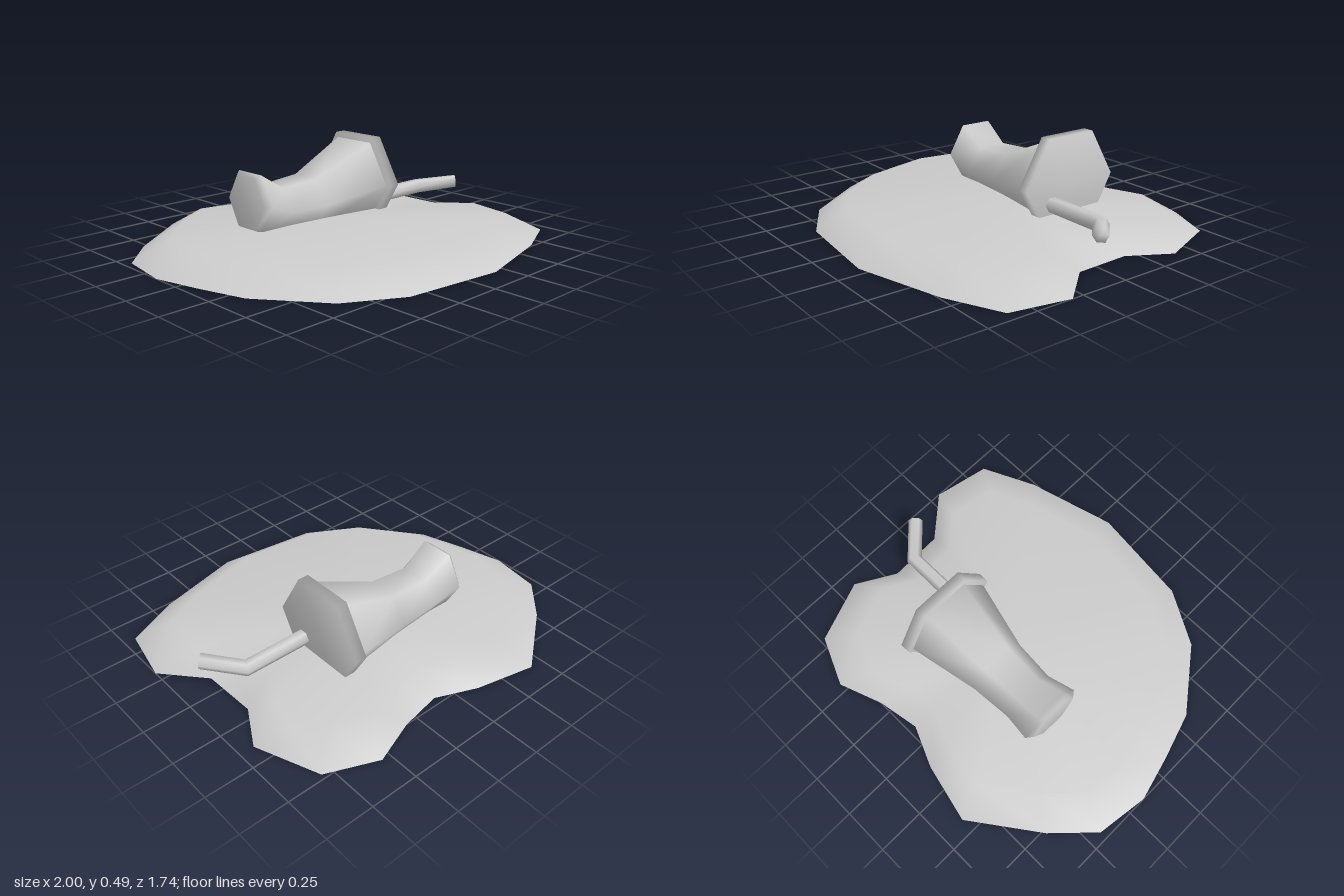
import * as THREE from 'three';

// Skin a list of rings (arrays of Vector3), with optional fan caps at each end.
function loft(rings, capStart, capEnd) {
  const n = rings[0].length;
  const points = rings.flat();
  const index = [];
  for (let i = 0; i < rings.length - 1; i++) {
    for (let j = 0; j < n; j++) {
      const a = i * n + j, b = i * n + (j + 1) % n;
      index.push(a, a + n, b + n, a, b + n, b);
    }
  }
  const cap = (start, flip, ring) => {
    const c = points.length;
    points.push(ring.reduce((s, p) => s.add(p), new THREE.Vector3()).divideScalar(n));
    for (let j = 0; j < n; j++) {
      const a = start + j, b = start + (j + 1) % n;
      index.push(c, flip ? b : a, flip ? a : b);
    }
  };
  if (capStart) cap(0, false, rings[0]);
  if (capEnd) cap((rings.length - 1) * n, true, rings[rings.length - 1]);
  const g = new THREE.BufferGeometry().setFromPoints(points);
  g.setIndex(index);
  g.computeVertexNormals();
  return g;
}

// Six-sided ring around the x axis, turned by yaw about y and shifted by lean in x.
function hexRing(x, y, z, halfHeight, halfWidth, yaw = 0, lean = 0) {
  return Array.from({ length: 6 }, (_, k) => {
    const a = k * Math.PI / 3;
    const h = Math.sin(a) / Math.sin(Math.PI / 3) * halfHeight;
    const w = Math.cos(a) * halfWidth;
    return new THREE.Vector3(x + Math.sin(yaw) * w - h * lean, y + h, z + Math.cos(yaw) * w);
  });
}

export function createModel() {
  const group = new THREE.Group();
  const material = new THREE.MeshStandardMaterial({ color: 0xcccccc, side: THREE.DoubleSide });
  const add = (name, geometry) => {
    const mesh = new THREE.Mesh(geometry, material);
    mesh.name = name;
    group.add(mesh);
  };

  // Spilled puddle: irregular outline, sloped rim, flat top, open underneath
  const outline = [
    [-0.425, -0.87], [-0.115, -0.8], [0.095, -0.71], [0.315, -0.75], [0.545, -0.835],
    [0.8, -0.725], [0.925, -0.4], [0.805, -0.19], [0.815, 0.1], [1, 0.31],
    [0.94, 0.61], [0.66, 0.74], [0.19, 0.865], [-0.345, 0.805], [-0.625, 0.645],
    [-0.865, 0.33], [-0.94, 0.085], [-1, -0.15], [-0.96, -0.425], [-0.77, -0.62],
  ];
  const puddleRing = (s, y) => outline.map(([x, z]) => new THREE.Vector3(x * s, y, z * s));
  add('puddle', loft([puddleRing(1, 0), puddleRing(0.815, 0.104)], false, true));

  // Crushed cup lying on its side: x, top, bottom, half width
  const cupSections = [
    [-0.42, 0.372, 0.11, 0.137],
    [-0.392, 0.39, 0.088, 0.173],
    [-0.24, 0.297, 0.07, 0.148],
    [-0.02, 0.312, 0.052, 0.165],
    [0.34, 0.463, 0.03, 0.249],
  ];
  add('cup', loft(cupSections.map(([x, top, bottom, w]) =>
    hexRing(x, (top + bottom) / 2, -0.217, (top - bottom) / 2, w)), true, true));

  // Lid on the wide end
  add('lid', loft([0.335, 0.393].map((x) =>
    hexRing(x, 0.248, -0.215, 0.241, 0.278)), true, true));

  // Bent straw
  add('straw', loft([
    hexRing(0.38, 0.157, -0.1, 0.035, 0.04),
    hexRing(0.735, 0.156, -0.1, 0.035, 0.041, -Math.PI / 8),
    hexRing(0.89, 0.186, 0.055, 0.031, 0.038, -Math.PI / 4, 0.15),
  ], true, true));

  return group;
}
